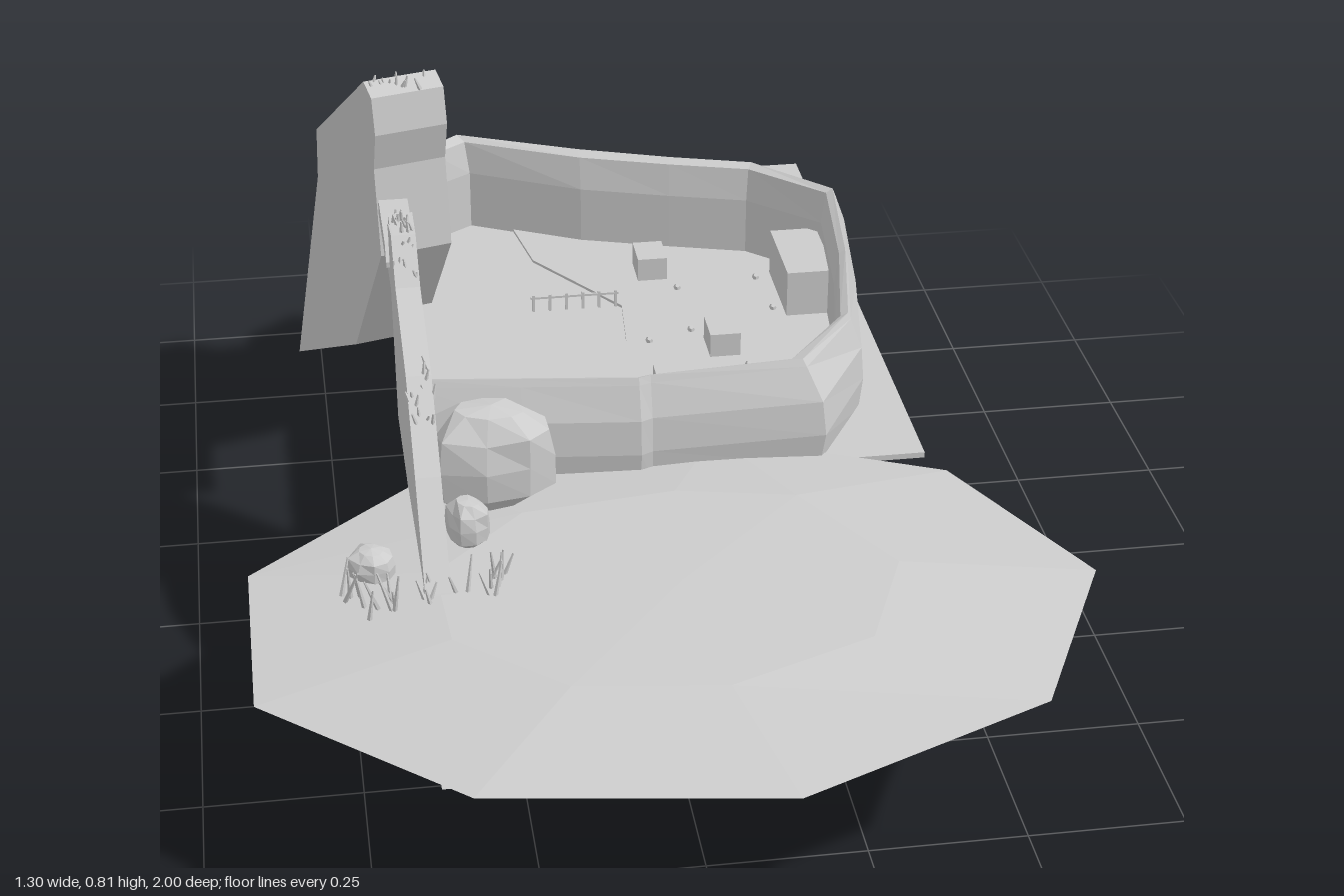
import * as THREE from 'three';

const mat = new THREE.MeshStandardMaterial({ color: 0xcccccc, flatShading: true, side: THREE.DoubleSide });

export function createModel() {
  const model = new THREE.Group();
  let seed = 7;
  const rand = () => (seed = (seed * 16807) % 2147483647) / 2147483647;

  const add = (name, geo, x = 0, y = 0, z = 0, parent = model) => {
    const mesh = new THREE.Mesh(geo, mat);
    mesh.name = name;
    mesh.position.set(x, y, z);
    parent.add(mesh);
    return mesh;
  };
  const group = (name) => {
    const g = new THREE.Group();
    g.name = name;
    model.add(g);
    return g;
  };
  const shapeOf = (pts) => new THREE.Shape(pts.map(([a, b]) => new THREE.Vector2(a, b)));

  // Flat slab from an [x, z] outline
  const slab = (pts, y0, y1) => new THREE.ExtrudeGeometry(shapeOf(pts.map(([x, z]) => [x, -z])),
    { depth: y1 - y0, bevelEnabled: false }).rotateX(-Math.PI / 2).translate(0, y0, 0);
  // Upright wall from a [z, y] outline, centred on x = 0
  const fin = (pts, width) => new THREE.ExtrudeGeometry(shapeOf(pts.map(([z, y]) => [-z, y])),
    { depth: width, bevelEnabled: false }).rotateY(Math.PI / 2).translate(-width / 2, 0, 0);
  // Skin over rows of points
  const loft = (rows, closed) => {
    const n = rows[0].length, idx = [];
    for (let i = 0; i < rows.length - 1; i++) {
      for (let j = 0; j < (closed ? n : n - 1); j++) {
        const a = i * n + j, b = i * n + (j + 1) % n;
        idx.push(a, b, a + n, b, b + n, a + n);
      }
    }
    const geo = new THREE.BufferGeometry();
    geo.setAttribute('position', new THREE.Float32BufferAttribute(rows.flat(2), 3));
    geo.setIndex(idx);
    geo.computeVertexNormals();
    return geo;
  };

  // Low sand mound in front
  const rim = [[-0.655, 0.34], [-0.655, 0.68], [-0.36, 0.935], [0.09, 1.0], [0.49, 0.83],
    [0.65, 0.51], [0.49, 0.19], [0.13, 0.03], [-0.37, 0.1]];
  const crown = [[-0.37, 0.42], [-0.36, 0.6], [-0.2, 0.74], [0.03, 0.77], [0.26, 0.68],
    [0.34, 0.49], [0.22, 0.28], [0.03, 0.24], [-0.22, 0.27]];
  add('moundGround', loft([
    rim.map(([x, z]) => [x, 0.315, z]),
    crown.map(([x, z]) => [x, 0.348, z]),
    crown.map(() => [0, 0.353, 0.5]),
  ], true));

  // Base plate and slightly raised inner floor
  add('basePlate', slab([[-0.36, 0.12], [0.47, 0.12], [0.47, -1], [0.26, -1], [-0.36, -0.78]], 0.299, 0.309));
  add('raisedFloor', slab([[-0.05, 0.1], [-0.03, -0.2], [0.03, -0.32], [0.04, -0.45], [-0.1, -0.65],
    [-0.13, -0.82], [0.02, -0.77], [0.31, -0.65], [0.44, -0.54], [0.41, -0.28], [0.37, -0.06], [0.27, 0.09]], 0.305, 0.314));

  // Enclosure wall: outer and inner edge at each station, swept with one profile
  const outer = [[-0.37, 0.1], [-0.2, 0.125], [-0.01, 0.145], [0.01, 0.135], [0.3, 0.125], [0.4, -0.05], [0.44, -0.29],
    [0.47, -0.53], [0.33, -0.69], [0.17, -0.74], [0, -0.81], [-0.25, -0.9], [-0.33, -0.82], [-0.37, -0.64]];
  const inner = [[-0.37, 0.045], [-0.2, 0.065], [-0.01, 0.09], [0.01, 0.085], [0.24, 0.065], [0.35, -0.06], [0.395, -0.28],
    [0.42, -0.52], [0.3, -0.63], [0.16, -0.67], [0, -0.72], [-0.2, -0.82], [-0.26, -0.78], [-0.31, -0.62]];
  const profile = [[0.12, 0.3], [0, 0.36], [0.1, 0.42], [0.5, 0.475], [0.6, 0.487], [0.85, 0.48], [1, 0.42], [1, 0.305]];
  add('enclosureWall', loft(outer.map(([x, z], i) => profile.map(([t, y]) => [
    x + (inner[i][0] - x) * t, y, z + (inner[i][1] - z) * t])), true));

  // Sloping ridge wall that runs down through the mound
  add('ridgeWall', fin([[0.7, 0.15], [0.48, 0.35], [0.34, 0.47], [0.2, 0.57], [0, 0.62], [-0.07, 0.68],
    [-0.14, 0.685], [-0.165, 0.63], [-0.15, 0.49], [-0.12, 0.31], [0.12, 0.31]], 0.04), -0.37, 0, 0);

  // Tall slanted rock tower at the back
  const tower = add('rockTower', fin([[0, 0.785], [-0.04, 0.8], [-0.345, 0.58], [-0.355, 0.48], [-0.565, 0],
    [-0.17, 0.22], [-0.11, 0.31], [0.012, 0.49], [-0.005, 0.65], [0.012, 0.72]], 0.13), -0.335, 0, -0.395);
  tower.rotation.y = 0.26;

  // Gatehouse hung between ridge and tower
  const gate = group('gatehouse');
  add('gateBody', new THREE.BoxGeometry(0.036, 0.055, 0.16), -0.37, 0.54, -0.28, gate);
  add('gateRoof', fin([[-0.175, 0.567], [-0.175, 0.577], [-0.2, 0.602], [-0.36, 0.602], [-0.385, 0.577], [-0.385, 0.567]], 0.05),
    -0.37, 0, 0, gate);
  add('gateFinial', new THREE.CylinderGeometry(0.002, 0.004, 0.02, 5), -0.37, 0.61, -0.285, gate);

  // Boulders: squared-off, gently irregular spheres
  const boulder = (name, x, y, z, sx, sy, sz, turn) => {
    const geo = new THREE.SphereGeometry(1, 9, 6);
    const p = geo.attributes.position;
    for (let i = 0; i < p.count; i++) {
      const v = new THREE.Vector3().fromBufferAttribute(p, i);
      const m = Math.max(Math.abs(v.x), Math.abs(v.y), Math.abs(v.z));
      v.multiplyScalar((0.55 + 0.45 / m) * (0.9 + 0.07 * Math.sin(v.x * 4 + v.y * 3 + turn) * Math.cos(v.z * 3)));
      p.setXYZ(i, v.x * sx, v.y * sy, v.z * sz);
    }
    geo.computeVertexNormals();
    add(name, geo, x, y, z).rotation.y = turn;
  };
  boulder('largeBoulder', -0.26, 0.43, 0.22, 0.115, 0.1, 0.072, 0.05);
  boulder('smallBoulderLeft', -0.31, 0.385, 0.34, 0.036, 0.045, 0.04, 0.4);
  boulder('smallBoulderRight', -0.465, 0.36, 0.4, 0.04, 0.03, 0.036, -0.5);

  // Crates and a shed inside the enclosure
  for (const [x, z] of [[0.11, -0.575], [0.195, -0.275], [0.08, -0.12]]) {
    add('crate', new THREE.BoxGeometry(0.054, 0.045, 0.07), x, 0.335, z);
  }
  add('shed', new THREE.BoxGeometry(0.085, 0.09, 0.17), 0.372, 0.355, -0.455);

  // Short post-and-rail fence
  const fence = group('fence');
  add('fenceRail', new THREE.BoxGeometry(0.16, 0.004, 0.004), -0.045, 0.336, -0.46, fence);
  for (let i = 0; i < 6; i++) {
    add('fencePost', new THREE.BoxGeometry(0.005, 0.034, 0.005), -0.12 + i * 0.03, 0.325, -0.46, fence);
  }

  // Scattered floor stones
  const stones = group('floorStones');
  for (const [x, z] of [[0.15, -0.5], [0.3, -0.52], [0.15, -0.34], [0.23, -0.2], [0.07, -0.31], [0.31, -0.4]]) {
    add('floorStone', new THREE.DodecahedronGeometry(0.007), x, 0.317, z, stones);
  }

  // Tufts of thin blades: centre, spread and blade height
  const tuft = (x, y, z, dx, dz, h, count, slope = 0) => {
    const g = group('plantTuft');
    for (let i = 0; i < count; i++) {
      const ox = (rand() - 0.5) * dx, oz = (rand() - 0.5) * dz, hh = h * (0.6 + 0.4 * rand());
      const blade = add('blade', new THREE.CylinderGeometry(0.0015, 0.004, hh, 4).translate(0, hh / 2, 0),
        x + ox, y + oz * slope - 0.004, z + oz, g);
      blade.rotation.set((rand() - 0.5) * 0.8, 0, (rand() - 0.5) * 0.8);
    }
  };
  tuft(-0.37, 0.683, -0.105, 0.04, 0.07, 0.025, 14);
  tuft(-0.37, 0.65, -0.04, 0.04, 0.06, 0.022, 8, -0.85);
  tuft(-0.37, 0.55, 0.22, 0.04, 0.09, 0.03, 12, -0.75);
  tuft(-0.345, 0.79, -0.42, 0.1, 0.04, 0.025, 12);
  tuft(-0.475, 0.34, 0.48, 0.08, 0.07, 0.08, 11);
  tuft(-0.31, 0.345, 0.47, 0.1, 0.06, 0.07, 10);
  tuft(-0.4, 0.345, 0.48, 0.08, 0.04, 0.04, 6);

  return model;
}
